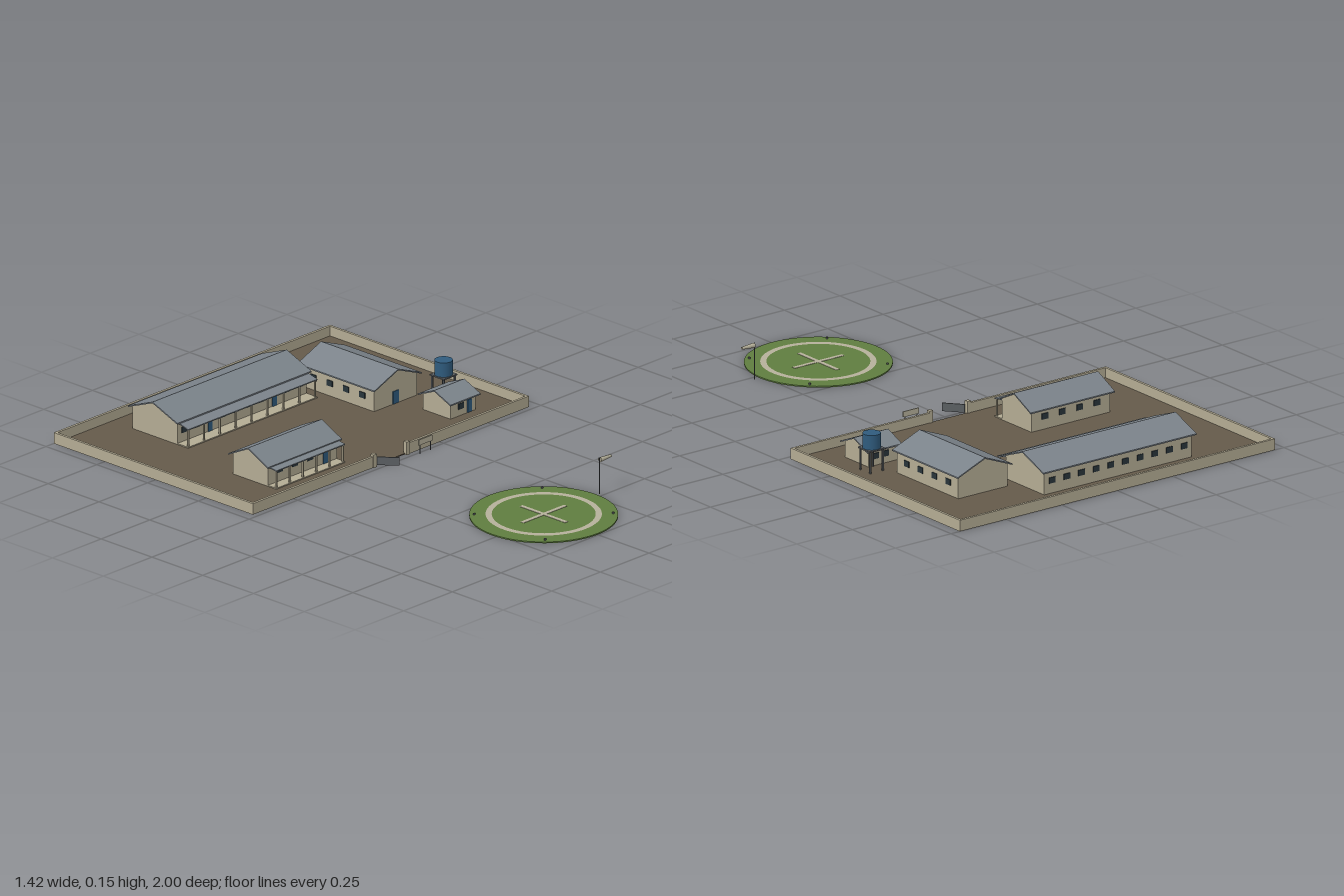
import * as THREE from 'three';

const mat = (name, color) => {
  const m = new THREE.MeshStandardMaterial({ color });
  m.name = name;
  return m;
};

export function createModel() {
  const M = {
    earth: mat('earth', 0x645a4a),
    wall: mat('plaster', 0xb3ab93),
    roof: mat('roofMetal', 0x7b838a),
    grass: mat('padGreen', 0x5f7d3f),
    paint: mat('paint', 0xb5b09a),
    glass: mat('windowDark', 0x28343a),
    blue: mat('blue', 0x2f5b7d),
    steel: mat('steel', 0x5c6063),
  };
  const root = new THREE.Group();
  root.name = 'compound';

  const add = (parent, name, geo, material, x = 0, y = 0, z = 0) => {
    const m = new THREE.Mesh(geo, material);
    m.name = name;
    m.position.set(x, y, z);
    parent.add(m);
    return m;
  };
  // box standing on height y
  const box = (parent, name, material, w, h, d, x, y, z) =>
    add(parent, name, new THREE.BoxGeometry(w, h, d), material, x, y + h / 2, z);
  const pole = (parent, name, r, h, x, y, z) =>
    add(parent, name, new THREE.CylinderGeometry(r, r, h, 8), M.steel, x, y + h / 2, z);

  // section given as [z, y] pairs, extruded along x and centred
  const prism = (points, length) => {
    const shape = new THREE.Shape(points.map(([z, y]) => new THREE.Vector2(-z, y)));
    const g = new THREE.ExtrudeGeometry(shape, { depth: length, bevelEnabled: false });
    return g.translate(0, 0, -length / 2).rotateY(Math.PI / 2);
  };

  // gabled house with its ridge along local x, front facing local +z
  function house(name, o) {
    const g = new THREE.Group();
    g.name = name;
    g.position.set(o.x, 0, o.z);
    g.rotation.y = o.turn || 0;
    root.add(g);
    const t = 0.005, hw = o.half - 0.012, len = o.length - 0.026;
    const slope = (o.ridge - o.eave) / o.half;
    const wallTop = o.ridge - t - slope * hw;
    add(g, 'walls', prism([[-hw, 0], [hw, 0], [hw, wallTop], [0, o.ridge - t], [-hw, wallTop]], len), M.wall);
    add(g, 'roof', prism([
      [-o.half, o.eave - t], [0, o.ridge - t], [o.half, o.eave - t],
      [o.half, o.eave], [0, o.ridge], [-o.half, o.eave],
    ], o.length), M.roof);

    // openings on the two long sides
    for (const side of [1, -1]) {
      const z = side * (hw + 0.001);
      o.openings.forEach((x, i) => {
        if (side > 0 && o.doors.includes(i)) box(g, 'door', M.blue, 0.022, 0.048, 0.004, x, 0.006, z);
        else box(g, 'window', M.glass, o.win || 0.028, 0.022, 0.004, x, o.sill || 0.043, z);
      });
    }

    // lean-to veranda with a row of posts
    if (o.veranda) {
      const end = o.veranda;
      add(g, 'verandaRoof', prism([
        [hw, o.eave - 0.006], [end, o.low - 0.004], [end, o.low], [hw, o.eave - 0.002],
      ], len), M.roof);
      box(g, 'verandaFloor', M.wall, len, 0.009, end - hw, 0, 0, (end + hw) / 2);
      for (let i = 0; i < o.posts; i++) {
        const x = (i / (o.posts - 1) - 0.5) * (len - 0.012);
        box(g, 'verandaPost', M.wall, 0.006, o.low - 0.003, 0.006, x, 0, end - 0.006);
      }
    }
    return g;
  }
  const row = (n, step) => Array.from({ length: n }, (_, i) => (i - (n - 1) / 2) * step);

  // ground and boundary wall with a gateway in front
  box(root, 'ground', M.earth, 1.41, 0.004, 0.97, 0, 0.001, -0.51);
  const H = 0.042, T = 0.01;
  box(root, 'backWall', M.wall, 1.42, H, T, 0, 0, -0.995);
  for (const s of [-1, 1]) box(root, 'sideWall', M.wall, T, H, 0.96, s * 0.705, 0, -0.51);
  const gate = 0.085;
  for (const s of [-1, 1]) {
    box(root, 'frontWall', M.wall, 0.71 - gate, H, T, s * (0.71 + gate) / 2, 0, -0.025);
    box(root, 'gatePillar', M.wall, 0.016, 0.05, 0.016, s * gate, 0, -0.024);
  }

  // open gate leaf
  const leaf = new THREE.Group();
  leaf.name = 'gateLeaf';
  leaf.position.set(-0.074, 0, -0.02);
  leaf.rotation.y = -0.87;
  root.add(leaf);
  box(leaf, 'gatePanel', M.steel, 0.082, 0.031, 0.004, 0.041, 0.006, 0);

  // notice board
  box(root, 'signBoard', M.paint, 0.07, 0.021, 0.004, 0.145, 0.035, 0.01);
  for (const x of [0.118, 0.172]) pole(root, 'signPost', 0.002, 0.036, x, 0, 0.01);

  // buildings
  house('longHouse', {
    x: -0.09, z: -0.777, length: 0.69, half: 0.122, ridge: 0.141, eave: 0.093,
    openings: row(10, 0.066), doors: [2, 7], veranda: 0.163, low: 0.077, posts: 9,
  });
  house('smallHouse', {
    x: -0.31, z: -0.245, length: 0.38, half: 0.098, ridge: 0.132, eave: 0.084,
    openings: row(4, 0.078), doors: [3], veranda: 0.127, low: 0.076, posts: 6,
  });
  const hall = house('sideHall', {
    x: 0.398, z: -0.555, length: 0.38, half: 0.123, ridge: 0.14, eave: 0.091, turn: -Math.PI / 2,
    openings: row(4, 0.08), doors: [],
  });
  box(hall, 'hallDoor', M.blue, 0.004, 0.048, 0.03, 0.178, 0.006, 0);
  house('guardHouse', {
    x: 0.488, z: -0.2, length: 0.155, half: 0.08, ridge: 0.1, eave: 0.066,
    openings: [-0.012, 0.032], doors: [1], win: 0.026, sill: 0.03,
  });

  // water tank on a stand
  const tank = new THREE.Group();
  tank.name = 'waterTank';
  tank.position.set(0.563, 0, -0.3);
  root.add(tank);
  for (const x of [-1, 1]) for (const z of [-1, 1])
    box(tank, 'standLeg', M.steel, 0.006, 0.087, 0.006, x * 0.028, 0, z * 0.028);
  box(tank, 'standDeck', M.steel, 0.07, 0.005, 0.07, 0, 0.086, 0);
  add(tank, 'tankBody', new THREE.CylinderGeometry(0.033, 0.033, 0.055, 24), M.blue, 0, 0.1185, 0);

  // round landing pad
  const pad = new THREE.Group();
  pad.name = 'landingPad';
  pad.position.set(0, 0, 0.732);
  root.add(pad);
  add(pad, 'padDisc', new THREE.CylinderGeometry(0.265, 0.265, 0.005, 64), M.grass, 0, 0.0025, 0);
  add(pad, 'padRing', new THREE.RingGeometry(0.185, 0.207, 64).rotateX(-Math.PI / 2), M.paint, 0, 0.0062, 0);
  box(pad, 'padCrossBar', M.paint, 0.224, 0.0012, 0.016, 0, 0.005, 0);
  for (const s of [-1, 1]) {
    box(pad, 'padCrossArm', M.paint, 0.016, 0.0012, 0.104, 0, 0.005, s * 0.06);
    for (const q of [-1, 1]) pole(pad, 'padLight', 0.004, 0.006, s * 0.175, 0.005, q * 0.175);
  }

  // wind sock
  pole(root, 'sockPole', 0.002, 0.138, 0.287, 0, 0.732);
  const sock = new THREE.CylinderGeometry(0.005, 0.009, 0.056, 12, 1, true).rotateZ(-Math.PI / 2);
  const cloth = M.paint.clone();
  cloth.name = 'sockCloth';
  cloth.side = THREE.DoubleSide;
  add(root, 'windSock', sock, cloth, 0.317, 0.129, 0.732);

  return root;
}
